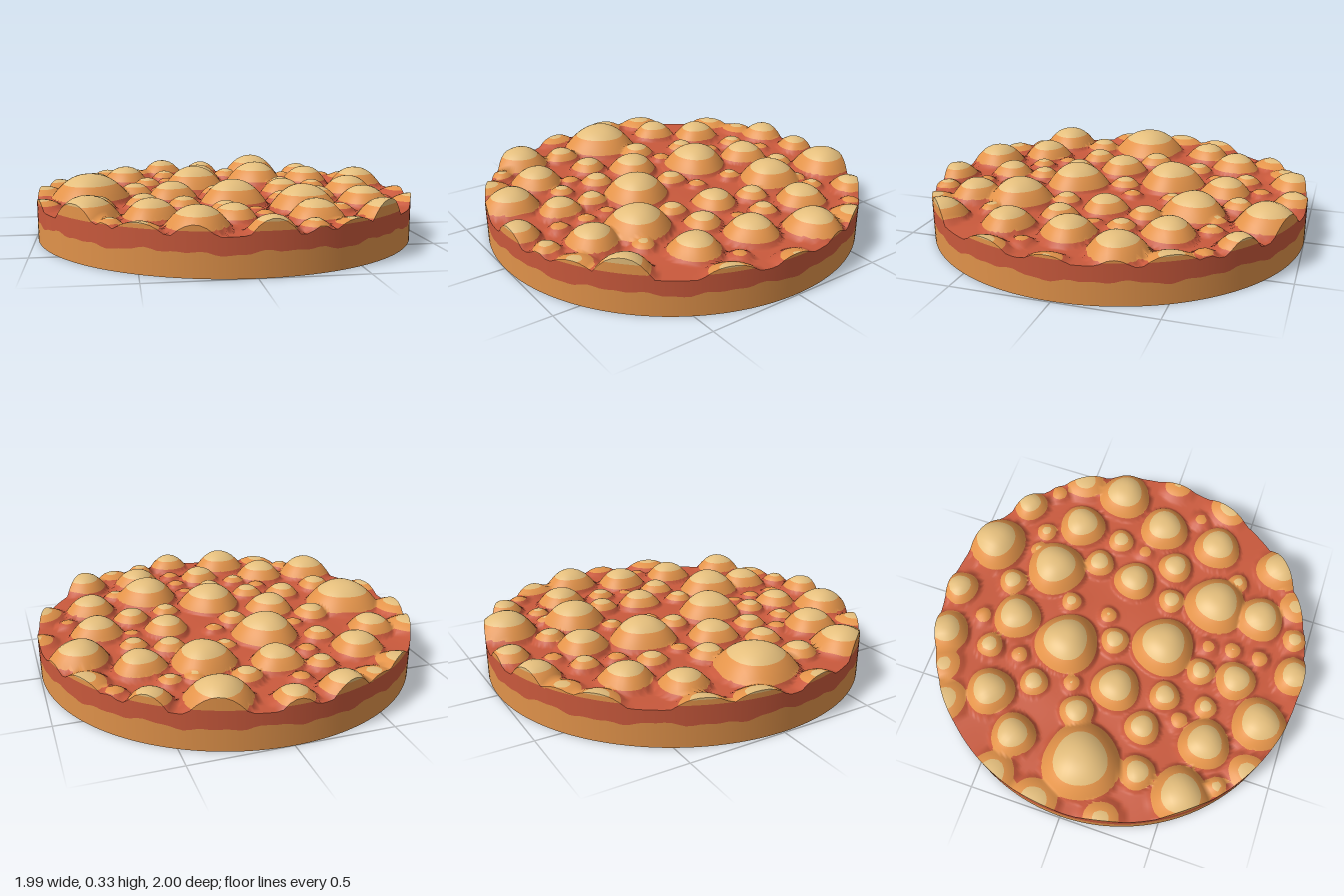
import * as THREE from 'three';

const RINGS = 84, SEGS = 200, SQUASH = 0.993;
const SAUCE_TOP = 0.205;

// bubbles as x, z, radius
const bigBubbles = [
  -0.28, -0.90, 0.11, -0.02, -0.93, 0.09, 0.30, -0.84, 0.15, 0.59, -0.75, 0.09,
  -0.52, -0.55, 0.12, -0.08, -0.57, 0.12, 0.26, -0.47, 0.15, 0.56, -0.42, 0.12,
  0.82, -0.25, 0.135, -0.70, -0.35, 0.11, -0.14, -0.26, 0.16, -0.72, 0.03, 0.19,
  -0.48, -0.08, 0.085, -0.29, 0.07, 0.12, 0.01, 0.24, 0.155, 0.33, -0.03, 0.105,
  0.69, 0.03, 0.125, 0.37, -0.25, 0.075, 0.33, 0.44, 0.155, 0.67, 0.35, 0.12,
  0.48, 0.16, 0.085, -0.45, 0.27, 0.085, -0.25, 0.33, 0.075, -0.72, 0.56, 0.14,
  -0.43, 0.60, 0.125, -0.24, 0.84, 0.135, 0.33, 0.69, 0.12, 0.65, 0.72, 0.12,
  0.07, 0.95, 0.10, -0.05, 0.66, 0.10, -0.40, -0.35, 0.07, -0.04, -0.02, 0.07,
  -0.68, 0.32, 0.085, 0.54, -0.18, 0.065,
];
const smallBubbles = [
  -0.13, -0.75, 0.04, 0.11, -0.67, 0.07, -0.28, -0.65, 0.065, -0.28, -0.48, 0.04,
  0.34, -0.60, 0.045, 0.46, -0.60, 0.05, 0.10, -0.32, 0.05, -0.34, -0.16, 0.04,
  0.09, -0.10, 0.04, 0.28, 0.20, 0.065, -0.35, 0.44, 0.04, -0.24, 0.55, 0.055,
  -0.06, 0.47, 0.07, 0.09, 0.47, 0.03, 0.11, 0.60, 0.04, 0.11, 0.75, 0.04,
  0.50, 0.52, 0.05, 0.52, -0.03, 0.03, 0.72, -0.62, 0.04, 0.82, 0.21, 0.03,
  0.27, 0.90, 0.06, -0.62, 0.72, 0.05,
];
const rimBubbles = [
  -0.92, -0.38, 0.11, -0.64, -0.76, 0.105, -0.46, -0.84, 0.08, -0.98, -0.13, 0.11,
  -0.96, 0.22, 0.085, 0.84, -0.50, 0.10, 0.94, 0.35, 0.10, -0.50, 0.85, 0.09,
  0.46, 0.86, 0.08, 0.99, 0.02, 0.07,
];
const bubbles = [];
function addBubbles(list, rise) {
  for (let i = 0; i < list.length; i += 3) {
    const [x, z, r] = list.slice(i, i + 3);
    bubbles.push({ x, z, r: r * 1.06, top: Math.min(0.325, 0.185 + rise * r) });
  }
}
addBubbles(bigBubbles, 0.82);
addBubbles(smallBubbles, 0.85);
addBubbles(rimBubbles, 0.5);

// surface height, and the rise of the dome that forms it
function surface(x, z) {
  let h = 0.183 + 0.006 * Math.sin(9 * x + 4 * z) * Math.cos(8 * z - 5 * x);
  let best = h, rise = 0.05;
  for (const b of bubbles) {
    // slightly uneven outline for each dome
    const a = Math.atan2(z - b.z, x - b.x);
    const r = b.r * (1 + 0.035 * Math.sin(3 * a + b.x * 40));
    const d2 = ((x - b.x) ** 2 + (z - b.z) ** 2) / (r * r);
    if (d2 > 5) continue;
    const dome = b.top - (b.top - SAUCE_TOP) * d2 ** 1.15;
    if (dome > best) {
      best = dome;
      rise = b.top - SAUCE_TOP + 0.012;
    }
    // soft maximum rounds the creases
    h = (h + dome + Math.hypot(h - dome, 0.006)) / 2;
  }
  return { h, rise };
}

const dripLine = (a) =>
  0.112 + 0.007 * Math.sin(11 * a) + 0.006 * Math.sin(23 * a + 1) + 0.004 * Math.sin(47 * a);

// a point is [x, y, z, nx, ny, nz, bake], bake being the relative height on its dome
function topPoint(r, a) {
  const x = r * Math.sin(a) * SQUASH, z = r * Math.cos(a), e = 0.006;
  const n = new THREE.Vector3(
    surface(x - e, z).h - surface(x + e, z).h, 2 * e,
    surface(x, z - e).h - surface(x, z + e).h).normalize();
  const { h, rise } = surface(x, z);
  return [x, h, z, n.x, n.y, n.z, (h - SAUCE_TOP) / rise];
}
function wallPoint(a, y, rise) {
  const s = Math.sin(a), c = Math.cos(a);
  return [s * SQUASH, y, c, s, 0, c, (y - SAUCE_TOP) / rise];
}

// keep the part of a polygon baked more (sign 1) or less (sign -1) than a level
function clip(poly, level, sign) {
  const out = [];
  poly.forEach((p, i) => {
    const q = poly[(i + 1) % poly.length];
    const dp = (p[6] - level) * sign, dq = (q[6] - level) * sign;
    if (dp >= 0) out.push(p);
    if (dp * dq < 0) out.push(p.map((v, k) => v + (q[k] - v) * dp / (dp - dq)));
  });
  return out;
}

export function createModel() {
  const group = new THREE.Group();
  const material = (name, color) => {
    const m = new THREE.MeshStandardMaterial({ color });
    m.name = name;
    return m;
  };
  const addMesh = (name, geometry, mat) => {
    const mesh = new THREE.Mesh(geometry, mat);
    mesh.name = name;
    group.add(mesh);
  };

  // crust base with an uneven upper edge
  const crust = new THREE.CylinderGeometry(1, 1, 0.12, SEGS, 1);
  crust.translate(0, 0.06, 0).scale(SQUASH, 1, 1);
  const pos = crust.attributes.position;
  for (let i = 0; i < pos.count; i++)
    if (pos.getY(i) > 0.1) pos.setY(i, dripLine(Math.atan2(pos.getX(i) / SQUASH, pos.getZ(i))));
  addMesh('crustBase', crust, material('crust brown', 0xe0924a));

  // topping, sorted into three colour bands
  const bands = [
    { name: 'sauce', low: -100, high: 0, mat: material('sauce red', 0xc9593c) },
    { name: 'bubbleSides', low: 0, high: 0.53, mat: material('baked orange', 0xe4944a) },
    { name: 'bubbleTops', low: 0.53, high: 100, mat: material('cheese tan', 0xe4be7c) },
  ];
  for (const b of bands) { b.position = []; b.normal = []; }
  const addPolygon = (poly) => {
    for (const b of bands) {
      const part = clip(clip(poly, b.low, 1), b.high, -1);
      for (let i = 1; i + 1 < part.length; i++)
        for (const p of [part[0], part[i], part[i + 1]]) {
          b.position.push(...p.slice(0, 3));
          b.normal.push(...p.slice(3, 6));
        }
    }
  };

  // grid of points on the top, one row per ring
  const angle = (j) => (j % SEGS) / SEGS * Math.PI * 2;
  const grid = [];
  for (let i = 0; i <= RINGS; i++) {
    grid.push([]);
    for (let j = 0; j <= SEGS; j++) grid[i].push(topPoint(i / RINGS, angle(j)));
  }
  // outer wall from the drip line up to the bubbly edge
  const wallColumn = (j) => {
    const a = angle(j), edge = grid[RINGS][j];
    const { rise } = surface(edge[0], edge[2]);
    return [wallPoint(a, dripLine(a), rise), wallPoint(a, edge[1], rise)];
  };
  for (let j = 0; j < SEGS; j++) {
    for (let i = 0; i < RINGS; i++) {
      const a = grid[i][j], b = grid[i + 1][j], c = grid[i + 1][j + 1], d = grid[i][j + 1];
      addPolygon([a, b, c]);
      if (i > 0) addPolygon([a, c, d]);
    }
    const [low0, high0] = wallColumn(j), [low1, high1] = wallColumn(j + 1);
    addPolygon([low0, low1, high1]);
    addPolygon([low0, high1, high0]);
  }

  for (const b of bands) {
    const g = new THREE.BufferGeometry();
    g.setAttribute('position', new THREE.Float32BufferAttribute(b.position, 3));
    g.setAttribute('normal', new THREE.Float32BufferAttribute(b.normal, 3));
    addMesh(b.name, g, b.mat);
  }
  return group;
}
